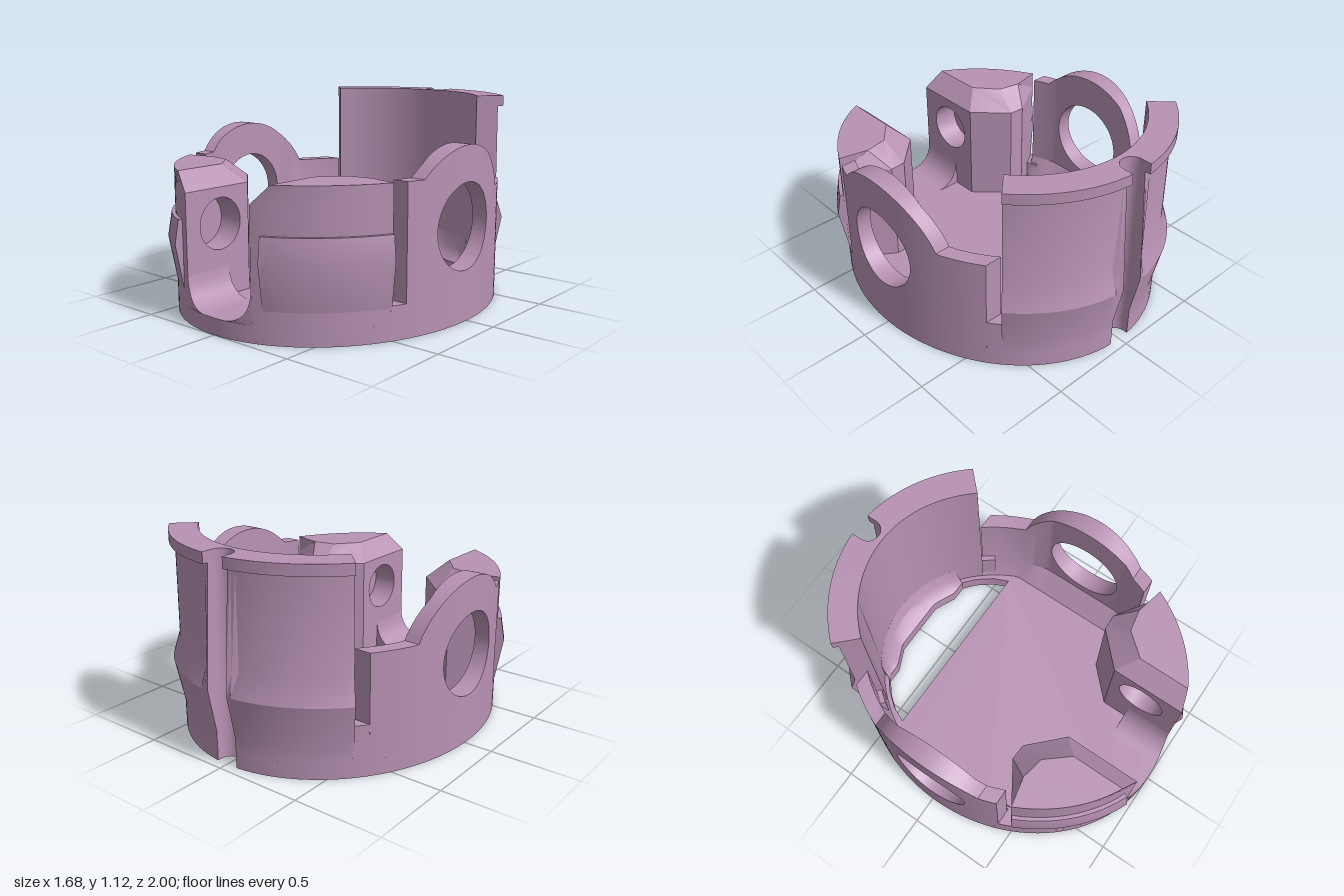
import * as THREE from 'three';
import { toCreasedNormals } from 'three/addons/utils/BufferGeometryUtils.js';

const A = 0.84, B = 0.975, ZC = 0.025, FLOOR = 0.09;

// Plan ellipse: t = 0 at the front, PI at the rear, with a radial offset
const ell = (t, off = 0) => [(A + off) * Math.sin(t), ZC + (B + off) * Math.cos(t)];
const ellX = (z, off = 0) => (A + off) * Math.sqrt(Math.max(0, 1 - ((z - ZC) / (B + off)) ** 2));
const ellZ = (x, off = 0) => (B + off) * Math.sqrt(Math.max(0, 1 - (x / (A + off)) ** 2));
const steps = (a, b, n) => Array.from({ length: n + 1 }, (_, i) => a + (b - a) * i / n);

const upright = p => [Math.hypot(p[0], p[2]), p[1]];
const flat = p => [p[0], p[2]];

// Closed solid through equal-length loops of points, with capped ends
function loft(rings, project = upright, skipSide = -1) {
  const tris = [], n = rings[0].length;
  for (let i = 0; i < rings.length - 1; i++) {
    for (let j = 0; j < n; j++) {
      if (i === 0 && j === skipSide) continue;
      const k = (j + 1) % n, [r, s] = [rings[i], rings[i + 1]];
      tris.push([r[j], r[k], s[k]], [r[j], s[k], s[j]]);
    }
  }
  [rings[0], rings[rings.length - 1]].forEach((ring, last) => {
    const pts = ring.map(p => new THREE.Vector2(...project(p)));
    const sign = Math.sign(THREE.ShapeUtils.area(pts));
    for (const f of THREE.ShapeUtils.triangulateShape(pts, [])) {
      const same = Math.sign(THREE.ShapeUtils.area(f.map(i => pts[i]))) === sign;
      const t = f.map(i => ring[i]);
      tris.push(same === !!last ? t : [t[0], t[2], t[1]]);
    }
  });
  let volume = 0;
  const solid = tris.map(t => t.map(p => new THREE.Vector3(...p))).filter(([a, b, c]) => {
    const cross = b.clone().sub(a).cross(c.clone().sub(a));
    if (cross.length() < 1e-9) return false;
    volume += a.dot(cross);
    return true;
  });
  const g = new THREE.BufferGeometry().setFromPoints(
    solid.flatMap(([a, b, c]) => (volume < 0 ? [a, c, b] : [a, b, c])));
  return toCreasedNormals(g, 0.45);
}

// Sweep a profile of [offset, height] pairs around the ellipse
const sweep = (ts, profile) => loft(ts.map(t => profile.map(([off, y]) => {
  const [x, z] = ell(t, off);
  return [x, y, z];
})));

// Copy to the other side, keeping faces outward
function mirrored(geo) {
  const g = geo.index ? geo.toNonIndexed() : geo.clone();
  g.scale(-1, 1, 1);
  for (const name of ['position', 'normal']) {
    const a = g.attributes[name];
    for (let i = 0; i < a.count; i += 3) {
      const p = [a.getX(i + 1), a.getY(i + 1), a.getZ(i + 1)];
      a.setXYZ(i + 1, a.getX(i + 2), a.getY(i + 2), a.getZ(i + 2));
      a.setXYZ(i + 2, ...p);
    }
  }
  return g;
}

export function createModel() {
  const model = new THREE.Group();
  model.name = 'ovalHousing';
  const mauve = new THREE.MeshStandardMaterial({ color: 0xb892b4 });
  mauve.name = 'mauve';
  const add = (name, geo) => {
    const m = new THREE.Mesh(geo, mauve);
    m.name = name;
    model.add(m);
  };
  const addPair = (name, geo) => {
    add(name + 'Left', geo);
    add(name + 'Right', mirrored(geo));
  };

  // Rear groove outline shared by floor and back wall
  const R = 0.065, delta = Math.asin(R / A);
  const groove = steps(0, Math.PI, 14).map(p => [R * Math.cos(p), -0.925 + R * Math.sin(p)]);

  // Floor plate with its rear opening
  const toV = ([x, z]) => new THREE.Vector2(x, -z);
  const plate = new THREE.Shape([
    ...steps(Math.PI + delta, 3 * Math.PI - delta, 110).map(t => ell(t)), ...groove].map(toV));
  const half = [[0.57, -0.42], [0.53, -0.51], [0.46, -0.6], [0.39, -0.66], [0.3, -0.66], [0.17, -0.72]];
  plate.holes.push(new THREE.Path(
    [...half, ...half.map(([x, z]) => [-x, z]).reverse()].map(toV)));
  const floor = new THREE.ExtrudeGeometry(plate, { depth: FLOOR, bevelEnabled: false });
  floor.rotateX(-Math.PI / 2);
  add('floor', toCreasedNormals(floor, 0.45));

  // Tall back wall: bulging band, top rim, rear groove with a rib on each side
  const wallProfile = rib => [[0, FLOOR], [0, 0.17], [0.048, 0.41], [0.008 + 0.032 * rib, 0.54],
    [0.004, 1.06], [0.035, 1.06], [0.035, 1.12], [-0.12, 1.12], [-0.12, FLOOR]];
  const sideRing = t => {
    const ax = Math.abs(ell(t)[0]);
    return wallProfile(ax < 0.11 ? 1 - (ax - R) / 0.045 : 0).map(([off, y]) => {
      const [x, z] = ell(t, off);
      return [x, y, z];
    });
  };
  const grooveRing = ([gx, gz]) => wallProfile(0).map(([off, y]) =>
    off < 0 ? [gx, y, ZC - ellZ(gx, off)] : [gx, y, gz]);
  const edgeRing = s => wallProfile(1).map(([off, y]) => [s * R, y, ZC - ellZ(R, off)]);
  const T_END = 2.353;
  const nearSide = [...steps(T_END, Math.PI - 0.132, 24), Math.PI - 0.1];
  add('backWall', loft([
    ...nearSide.map(sideRing), edgeRing(1),
    ...groove.map(grooveRing),
    edgeRing(-1), ...nearSide.map(t => 2 * Math.PI - t).reverse().map(sideRing)]));

  // Sloped fillet between back wall and floor opening
  const lip = x => x < 0.17 ? -0.72 : x < 0.3 ? -0.72 + (x - 0.17) * 0.46 : -0.66;
  add('rearFillet', loft(steps(-0.39, 0.39, 30).map(x => {
    const back = ZC - ellZ(x, -0.12), d = lip(Math.abs(x)) - back;
    return [[x, FLOOR, back - 0.01], [x, 0.24, back - 0.01], [x, 0.24, back],
      [x, 0.155, back + d * 0.25], [x, 0.11, back + d * 0.65], [x, FLOOR, back + d]];
  })));

  // Side walls with round ears and cross holes
  const HZ = 0.02, HY = 0.507, HR = 0.23, ER = 0.42;
  const top = z => z > 0.335 ? 0.785 : z < -0.37 ? 0.66 : HY + Math.sqrt(ER ** 2 - (z - HZ) ** 2);
  const section = (z, lo, hi) => {
    const xo = ellX(z), xi = Math.min(0.73, ellX(z, -0.08));
    const inner = lo < 0.2
      ? [[xi, 0.22, z], [Math.min(0.63, ellX(z, -0.12)), lo, z]] : [[xi, lo, z]];
    return [[xo, lo, z], [xo, hi, z], [xi, hi, z], ...inner];
  };
  const full = zs => loft(zs.map(z => section(z, FLOOR, top(z))));
  const round = steps(0, Math.PI, 36).map(p => [HZ + HR * Math.cos(p), HR * Math.sin(p)]);
  addPair('sideWallFront', full([0.43, 0.38, 0.335, ...steps(0.33, HZ + HR, 4)]));
  addPair('sideWallRear', full([...steps(HZ - HR, -0.37, 10), ...steps(-0.4, -0.6, 5)]));
  addPair('earTop', loft(round.map(([z, h]) => section(z, HY + h, top(z)))));
  addPair('earBottom', loft(round.map(([z, h]) => section(z, FLOOR, HY - h))));

  // Low wall under the narrow slots
  const lowWall = h => [[0, FLOOR], [0, h], [-0.11, h], [-0.11, FLOOR]];
  addPair('frontSlotSill', sweep(steps(1.05, 1.15, 3), lowWall(0.18)));
  addPair('rearSlotSill', sweep(steps(2.25, 2.36, 3), lowWall(0.285)));

  // Front pillars, chamfered toward the middle
  const T0 = Math.asin(0.23 / A), T1 = 1.061;
  const pillarRing = (y, t0, inner) => [
    ...steps(t0, T1, 18).map(t => ell(t)), ...inner].map(([x, z]) => [x, y, z]);
  const foot = [[0.5, 0.35], [0.41, 0.355], [0.23, 0.53]];
  const crown = [[0.57, 0.465], [0.44, 0.49], [0.33, 0.62]];
  addPair('frontPillar', loft([
    pillarRing(FLOOR, T0, foot), pillarRing(0.685, T0, foot),
    pillarRing(0.785, Math.asin(0.33 / A), crown)], flat, 21));

  // Inner pillar face with a blind bore
  const BZ = 0.73, BY = 0.49, BR = 0.14, DEPTH = 0.15;
  const circle = (S, r) => new S().absarc(BZ, BY, r, 0, Math.PI * 2);
  const zf = ZC + ellZ(0.23);
  const face = new THREE.Shape([[0.53, FLOOR], [zf, FLOOR], [zf, 0.685], [0.53, 0.685]]
    .map(p => new THREE.Vector2(...p)));
  face.holes.push(circle(THREE.Path, BR));
  const place = (g, x) => g.rotateY(-Math.PI / 2).translate(x, 0, 0);
  addPair('pillarFace', place(new THREE.ShapeGeometry(face, 24), 0.23));
  const ring = circle(THREE.Shape, BR + 0.008);
  ring.holes.push(circle(THREE.Path, BR));
  addPair('boreWall', toCreasedNormals(place(new THREE.ExtrudeGeometry(ring,
    { depth: DEPTH, bevelEnabled: false, curveSegments: 24 }), 0.23 + DEPTH), 0.5));
  addPair('boreEnd', place(new THREE.CircleGeometry(BR + 0.004, 32).translate(BZ, BY, 0), 0.229 + DEPTH));

  // Bulging grip pads on the front pillars
  addPair('gripPad', sweep(steps(Math.asin(0.285 / A), 1.058, 18),
    [[-0.02, 0.17], [0, 0.17], [0.042, 0.41], [0.02, 0.54], [-0.02, 0.54]]));

  // Rounded lower corners of the front channel
  const corner = new THREE.Shape();
  corner.moveTo(0.235, FLOOR - 0.005);
  corner.lineTo(0.235, 0.25);
  corner.lineTo(0.23, 0.25);
  corner.quadraticCurveTo(0.215, 0.1, 0.08, FLOOR);
  corner.lineTo(0.08, FLOOR - 0.005);
  const cornerGeo = new THREE.ExtrudeGeometry(corner, { depth: 0.3, bevelEnabled: false });
  const cp = cornerGeo.attributes.position;
  for (let i = 0; i < cp.count; i++) {
    cp.setZ(i, cp.getZ(i) > 0.1 ? ZC + ellZ(cp.getX(i)) : 0.68);
  }
  addPair('channelFillet', toCreasedNormals(cornerGeo, 0.5));

  return model;
}
